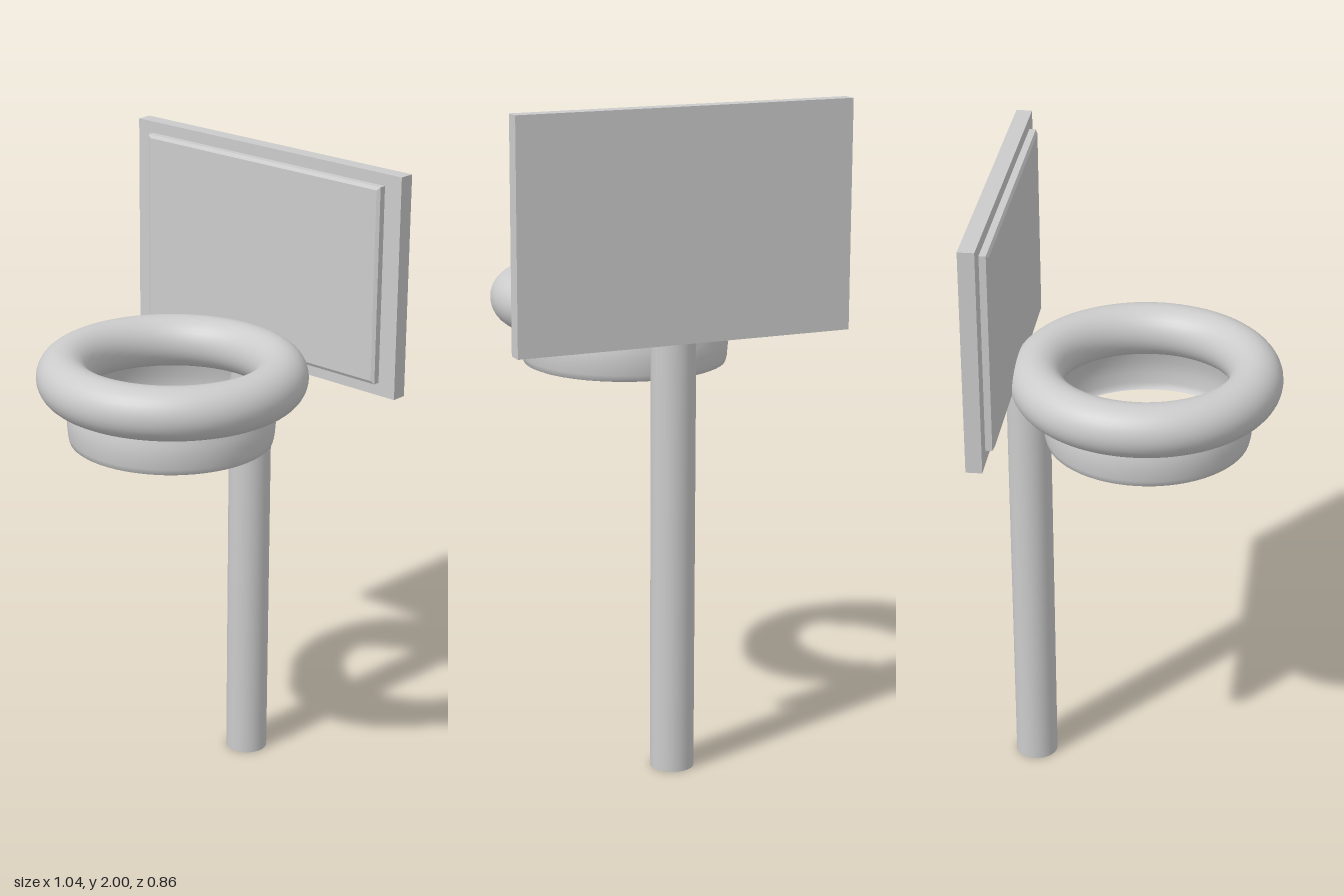
import * as THREE from 'three';

export function createModel() {
  const group = new THREE.Group();
  const material = new THREE.MeshStandardMaterial({ color: 0xcccccc });
  const openMaterial = new THREE.MeshStandardMaterial({ color: 0xcccccc, side: THREE.DoubleSide });

  const add = (name, geometry, x, y, z, mat = material) => {
    const mesh = new THREE.Mesh(geometry, mat);
    mesh.name = name;
    mesh.position.set(x, y, z);
    group.add(mesh);
    return mesh;
  };
  const lathe = (points, segments) =>
    new THREE.LatheGeometry(points.map(([r, y]) => new THREE.Vector2(r, y)), segments);

  // Backboard slab
  add('backboard', new THREE.BoxGeometry(1.04, 0.68, 0.048), 0, 1.66, -0.411);

  // Raised front panel with a fine bevel around its front edge
  const w = 0.45, h = 0.292, bevel = 0.01;
  const outline = new THREE.Shape([
    new THREE.Vector2(-w, -h), new THREE.Vector2(w, -h),
    new THREE.Vector2(w, h), new THREE.Vector2(-w, h),
  ]);
  const panel = new THREE.ExtrudeGeometry(outline, {
    depth: 0.025, bevelEnabled: true, bevelSize: bevel, bevelThickness: 0.006, bevelSegments: 1,
  });
  add('frontPanel', panel, 0, 1.662, -0.392);

  // Thick rim lying flat
  const rim = new THREE.TorusGeometry(0.327, 0.08, 32, 96);
  rim.rotateX(Math.PI / 2);
  add('rim', rim, 0, 1.38, 0.021);

  // Open collar hanging under the rim, slightly bulged
  const collar = lathe([
    [0.3, 1.18], [0.307, 1.183], [0.311, 1.2], [0.314, 1.235], [0.311, 1.27], [0.302, 1.3], [0.295, 1.33],
  ], 64);
  add('collar', collar, 0, 0, 0.026, openMaterial);

  // Post with softened ends
  const radius = 0.066;
  const post = new THREE.CylinderGeometry(radius, radius, 1.34, 40);
  add('post', post, 0, 0.67, -0.335);

  return group;
}
